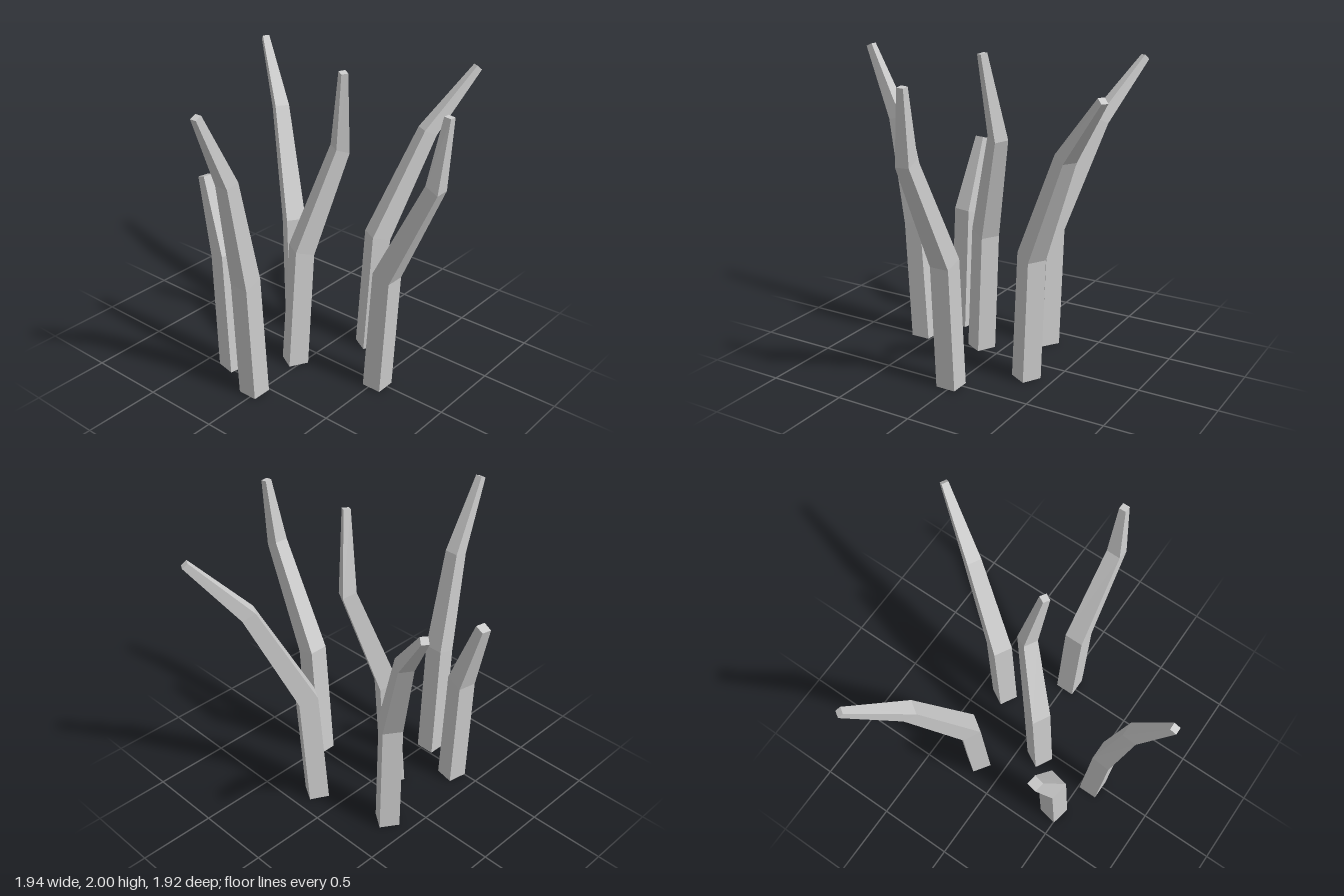
import * as THREE from 'three';

const RADII = [0.065, 0.063, 0.046, 0.022]; // half widths: foot, bend, upper bend, tip

// Each stalk: facing direction [x, z] and the centres of its cross-sections
const STALKS = [
  { name: 'leftSideStalk', dir: [-1, 0], path: [[-0.575, 0, -0.025], [-0.62, 0.81, -0.025], [-0.745, 1.49, -0.02], [-0.95, 1.944, -0.02]] },
  { name: 'shortStalk', dir: [0.19, -0.98], path: [[-0.453, 0, -0.326], [-0.446, 0.81, -0.369], [-0.425, 1.29, -0.53]], radii: [0.065, 0.062, 0.033] },
  { name: 'centreStalk', dir: [0.88, 0.48], path: [[-0.148, 0, -0.056], [-0.102, 0.81, -0.035], [0.08, 1.48, 0.12], [0.015, 1.99, 0.19]] },
  { name: 'frontStalk', dir: [0, 1], path: [[-0.015, 0, 0.52], [-0.017, 0.81, 0.568], [-0.037, 1.487, 0.895], [-0.017, 1.912, 0.943]] },
  { name: 'backStalk', dir: [0.56, -0.83], path: [[0.187, 0, -0.333], [0.2, 0.81, -0.364], [0.388, 1.483, -0.637], [0.567, 1.863, -0.93]] },
  { name: 'rightSideStalk', dir: [0.87, 0.49], path: [[0.326, 0, 0.187], [0.366, 0.81, 0.208], [0.655, 1.483, 0.36], [0.942, 1.863, 0.518]] },
];

// Tapered four-sided post whose cross-sections lean with the bends
function stalkGeometry({ dir: [dx, dz], path, radii = RADII }) {
  const positions = [];
  path.forEach(([x, y, z], i) => {
    // slope of the cross-section plane along x and z
    let sx = 0, sz = 0;
    if (i === 1) [sx, sz] = [0.3 * dx, 0.3 * dz];
    else if (i > 1) {
      const [px, py, pz] = path[i - 1];
      sx = (x - px) / (y - py);
      sz = (z - pz) / (y - py);
    }
    const w = radii[i], h = w / Math.hypot(1, sx, sz);
    for (const [a, b] of [[1, 1], [1, -1], [-1, -1], [-1, 1]]) {
      const ox = a * h * dx - b * w * dz;
      const oz = a * h * dz + b * w * dx;
      positions.push(x + ox, y - sx * ox - sz * oz, z + oz);
    }
  });

  const index = [];
  const quad = (a, b, c, d) => index.push(a, b, c, a, c, d);
  for (let r = 0; r < path.length - 1; r++) {
    for (let k = 0; k < 4; k++) {
      const a = r * 4 + k, b = r * 4 + (k + 1) % 4;
      quad(a, b, b + 4, a + 4);
    }
  }
  // end caps
  const t = (path.length - 1) * 4;
  quad(3, 2, 1, 0);
  quad(t, t + 1, t + 2, t + 3);

  const indexed = new THREE.BufferGeometry();
  indexed.setAttribute('position', new THREE.Float32BufferAttribute(positions, 3));
  indexed.setIndex(index);
  const geometry = indexed.toNonIndexed();
  geometry.computeVertexNormals();
  return geometry;
}

export function createModel() {
  const group = new THREE.Group();
  group.name = 'bentStalks';
  const material = new THREE.MeshStandardMaterial({ color: 0xcccccc, flatShading: true });
  for (const stalk of STALKS) {
    const mesh = new THREE.Mesh(stalkGeometry(stalk), material);
    mesh.name = stalk.name;
    group.add(mesh);
  }
  return group;
}
